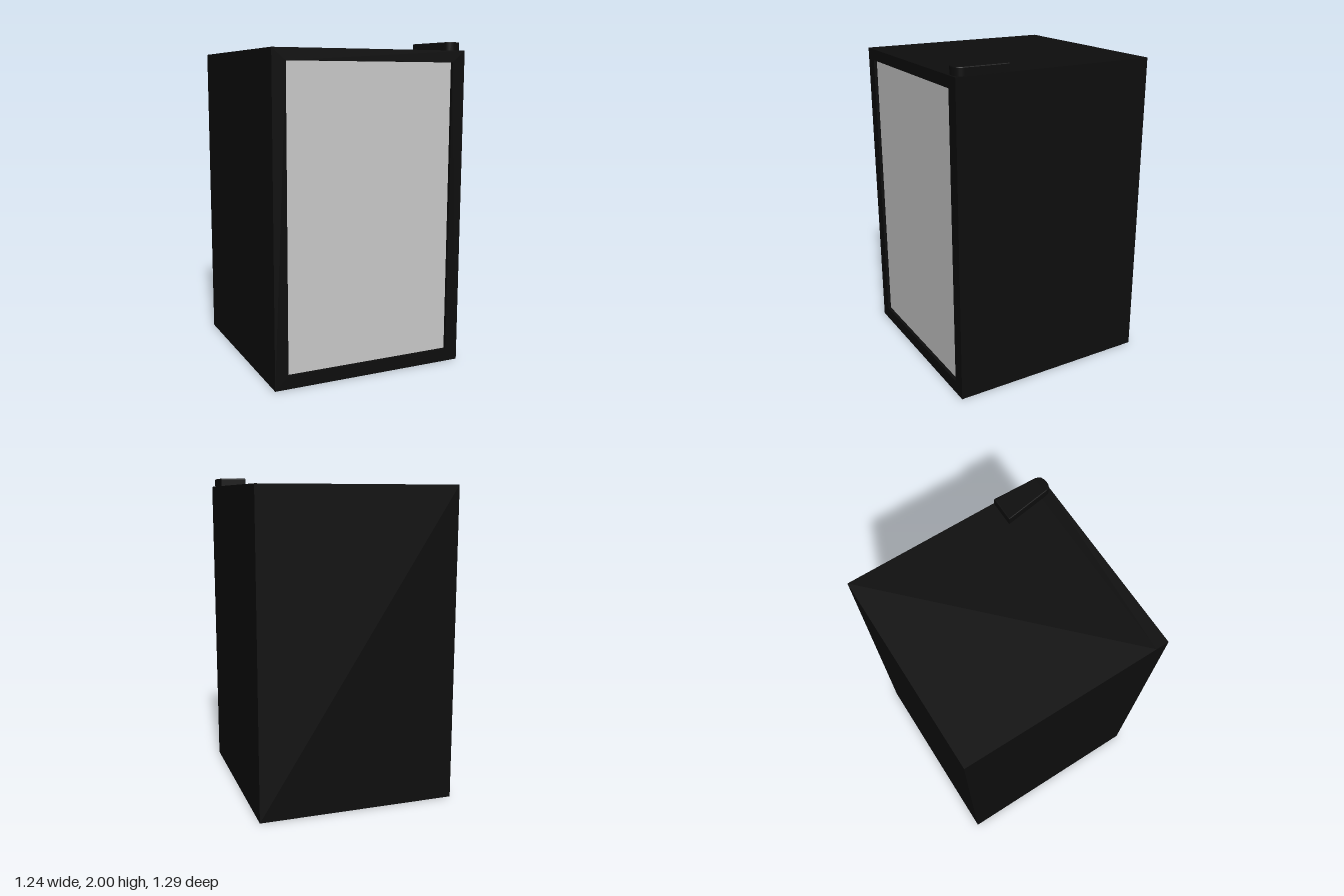
import * as THREE from 'three';

const W = 1.24, H = 1.95, BACK = -0.645, FRONT = 0.645, DOOR = 0.08;

function rect(shape, x0, y0, x1, y1) {
  shape.moveTo(x0, y0);
  shape.lineTo(x1, y0);
  shape.lineTo(x1, y1);
  shape.lineTo(x0, y1);
  shape.closePath();
  return shape;
}

export function createModel() {
  const group = new THREE.Group();
  const black = new THREE.MeshStandardMaterial({ color: 0x0d0d0d });
  black.name = 'black casing';
  const grey = new THREE.MeshStandardMaterial({ color: 0xc9c9c9 });
  grey.name = 'pale grey glass';

  function add(name, geometry, material, x = 0, y = 0, z = 0) {
    const mesh = new THREE.Mesh(geometry, material);
    mesh.name = name;
    mesh.position.set(x, y, z);
    group.add(mesh);
  }

  // Cabinet behind the door
  const depth = FRONT - DOOR - BACK;
  add('cabinet', new THREE.BoxGeometry(W, H, depth), black, 0, H / 2, BACK + depth / 2);

  // Door frame around the glass
  const frame = rect(new THREE.Shape(), -W / 2, 0, W / 2, H);
  frame.holes.push(rect(new THREE.Path(), -0.537, 0.08, 0.537, 1.88));
  add('doorFrame', new THREE.ExtrudeGeometry(frame, { depth: DOOR, bevelEnabled: false }),
    black, 0, 0, FRONT - DOOR);

  // Glass pane, slightly recessed in the frame
  add('glassPane', new THREE.BoxGeometry(1.074, 1.8, 0.05), grey, 0, 0.98, FRONT - 0.045);

  // Tapered hinge cover with a rounded front end, drawn in plan (shape y = -z)
  const b = 0.006;
  const plan = new THREE.Shape();
  plan.moveTo(0.455 + b, -0.315 - b);
  plan.lineTo(0.497 + b, -0.585);
  plan.quadraticCurveTo(0.505, -0.635 + b, 0.55, -0.635 + b);
  plan.quadraticCurveTo(0.6, -0.635 + b, 0.609 - b, -0.585);
  plan.lineTo(0.616 - b, -0.315 - b);
  plan.closePath();
  const hinge = new THREE.ExtrudeGeometry(plan, {
    depth: 0.05, bevelThickness: b, bevelSize: b, bevelSegments: 2, curveSegments: 8,
  });
  hinge.rotateX(-Math.PI / 2);
  add('hingeCover', hinge, black, 0, 2 - 0.05 - b, 0);

  return group;
}
